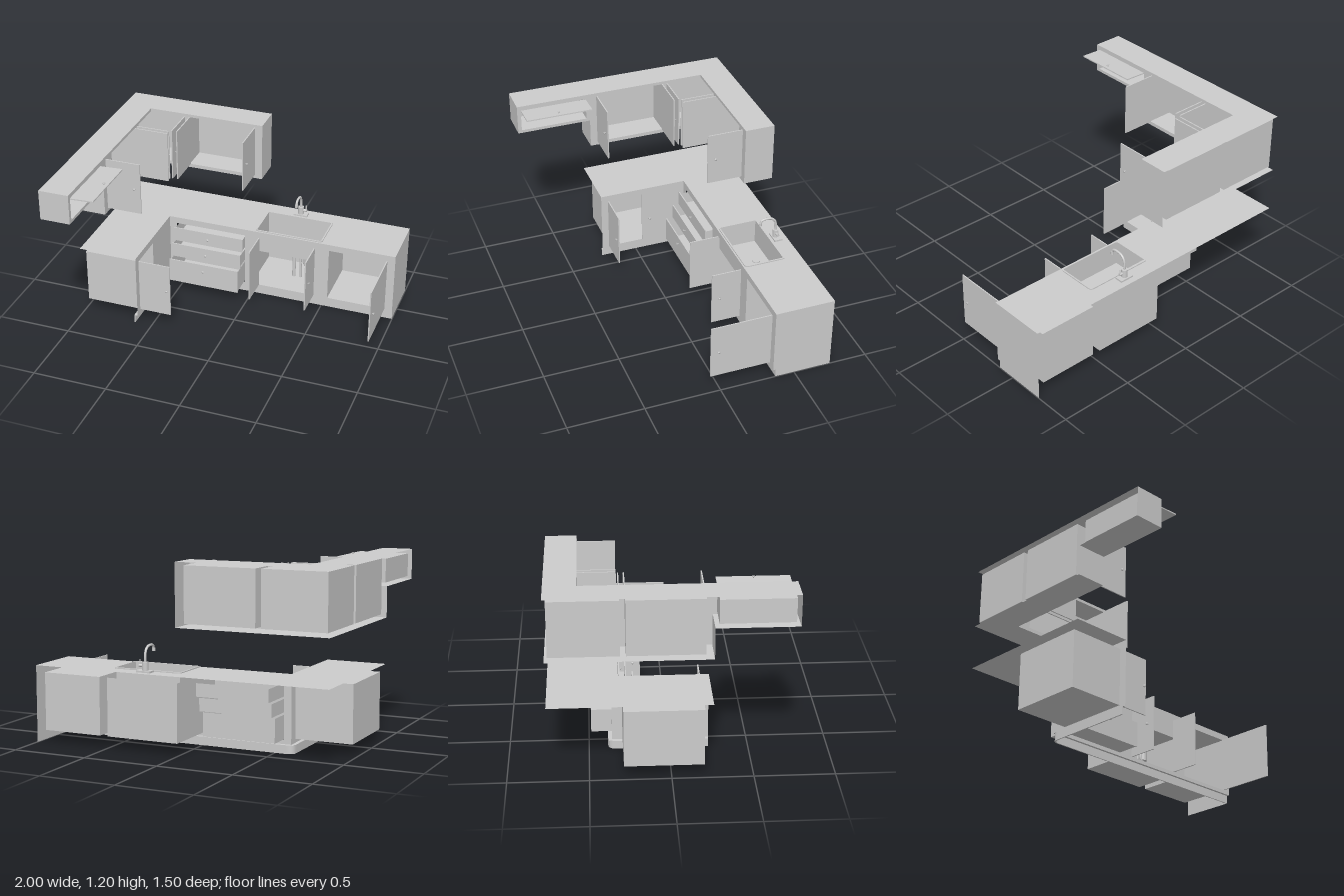
import * as THREE from 'three';

const mat = new THREE.MeshStandardMaterial({ color: 0xcccccc, side: THREE.DoubleSide });

export function createModel() {
  const root = new THREE.Group();
  const add = (name, geo, x = 0, y = 0, z = 0) => {
    const m = new THREE.Mesh(geo, mat);
    m.name = name;
    m.position.set(x, y, z);
    root.add(m);
    return m;
  };

  // Rectangular path with optional rounded corners
  const rect = (P, [a, b, c, d], r = 0) => {
    const p = new P();
    p.moveTo(a + r, b).lineTo(c - r, b);
    if (r) p.quadraticCurveTo(c, b, c, b + r);
    p.lineTo(c, d - r);
    if (r) p.quadraticCurveTo(c, d, c - r, d);
    p.lineTo(a + r, d);
    if (r) p.quadraticCurveTo(a, d, a, d - r);
    p.lineTo(a, b + r);
    if (r) p.quadraticCurveTo(a, b, a + r, b);
    p.closePath();
    return p;
  };
  const poly = pts => new THREE.Shape(pts.map(p => new THREE.Vector2(...p)));

  // Flat sheet across one axis: x takes (z,y), y takes (x,z), z takes (x,y)
  const sheet = (name, axis, at, shape, holes = []) => {
    shape.holes.push(...holes.map(h => rect(THREE.Path, h, 0.006)));
    const g = new THREE.ShapeGeometry(shape, 4);
    if (axis === 'x') g.rotateY(-Math.PI / 2);
    if (axis === 'y') g.rotateX(Math.PI / 2);
    const m = add(name, g);
    m.position[axis] = at;
  };
  const R = (...r) => rect(THREE.Shape, r);

  // Thin-walled box with some faces left out (0..5 = +x -x +y -y +z -z)
  const openBox = (name, [x0, y0, z0], [x1, y1, z1], ...open) => {
    const g = new THREE.BoxGeometry(x1 - x0, y1 - y0, z1 - z0);
    const idx = Array.from(g.index.array);
    g.setIndex(idx.filter((_, i) => !open.includes(Math.floor(i / 6))));
    g.clearGroups();
    return add(name, g, (x0 + x1) / 2, (y0 + y1) / 2, (z0 + z1) / 2);
  };
  const slab = (name, a, b) => openBox(name, a, b);

  // Knob: short stem with a round cap, pointing along an axis
  const knob = (x, y, z, axis, s) => {
    const pts = [[0.003, 0], [0.003, 0.006], [0.009, 0.009], [0.009, 0.013], [0, 0.015]];
    const g = new THREE.LatheGeometry(pts.map(p => new THREE.Vector2(...p)), 14);
    if (axis === 'x') g.rotateZ(-s * Math.PI / 2);
    if (axis === 'z') g.rotateX(s * Math.PI / 2);
    add('knob', g, x, y, z);
  };

  // Door swung open at a right angle; knob sits on its outer face
  const T = 0.008;
  const doorX = (x, z0, z1, y0, y1, s) => {
    slab('door', [x - T / 2, y0, z0], [x + T / 2, y1, z1]);
    knob(x + s * T / 2, (y0 + y1) / 2, z1 - 0.05, 'x', s);
  };
  const doorZ = (z, x0, x1, y0, y1, s, inset = 0.04) => {
    slab('door', [x0, y0, z - T / 2], [x1, y1, z + T / 2]);
    knob(x1 - inset, (y0 + y1) / 2, z + s * T / 2, 'z', s);
  };

  // ---- Base units ----
  const B0 = 0.08, B1 = 0.455, ZF = -0.355, XF = -0.6, ZB = -0.73;
  sheet('countertop', 'y', 0.5,
    poly([[-1, -0.75], [1, -0.75], [1, ZF], [XF, ZF], [XF, 0.25], [-1, 0.25]]),
    [[0.03, -0.63, 0.48, -0.375]]);
  sheet('baseFrontFrame', 'z', ZF, R(XF, 0.055, 1, 0.5),
    [[-0.55, B0, -0.05, B1], [0.05, B0, 0.445, B1], [0.545, B0, 0.945, B1]]);
  sheet('baseSideFrame', 'x', XF, R(ZF, 0.055, 0.25, 0.5), [[-0.29, B0, 0.2, B1]]);
  sheet('baseEndPanel', 'x', 0.998,
    poly([[-0.75, 0], [-0.375, 0], [-0.375, 0.055], [ZF, 0.055], [ZF, 0.5], [-0.75, 0.5]]));

  // Toe kick, curved round the inner corner
  const kick = new THREE.Shape();
  kick.moveTo(-0.625, 0.25).lineTo(-0.625, -0.33).quadraticCurveTo(-0.625, -0.38, -0.575, -0.38);
  kick.lineTo(0.998, -0.38).lineTo(0.998, -0.372).lineTo(-0.575, -0.372);
  kick.quadraticCurveTo(-0.617, -0.372, -0.617, -0.33).lineTo(-0.617, 0.25).closePath();
  add('toeKick', new THREE.ExtrudeGeometry(kick, { depth: 0.055, bevelEnabled: false, curveSegments: 8 })
    .rotateX(Math.PI / 2), 0, 0.055, 0);
  sheet('kickLedge', 'y', 0.055, R(-0.62, -0.375, 0.998, ZF));
  sheet('kickSideLedge', 'y', 0.055, R(-0.62, ZF, XF, 0.25));

  // Carcasses and doors
  openBox('endCabinet', [0.545, B0, ZB], [0.945, B1, ZF], 4);
  openBox('sinkCabinet', [0, B0, ZB], [0.49, B1, ZF], 2, 4);
  openBox('sideCabinet', [-0.98, B0, -0.29], [XF, B1, 0.2], 0);
  doorX(0.943, ZF, 0.05, B0, B1, 1);
  doorX(0.05, ZF, -0.155, B0, B1, -1);
  doorX(0.443, ZF, -0.155, B0, B1, 1);
  doorZ(0.198, XF, -0.38, B0, B1, 1, 0.022);
  slab('closedDoor', [XF - T, B0, -0.29], [XF, B1, -0.045]);
  knob(XF, 0.25, -0.1, 'x', 1);

  // Drawers, pulled out further towards the bottom
  [[0.35, 0.45, -0.3], [0.25, 0.35, -0.255], [B0, 0.25, -0.205]].forEach(([y0, y1, z], i) => {
    openBox('drawerTray', [-0.545, y0 + 0.003, z - 0.28], [-0.055, y1 - 0.012, z - T], 2);
    slab('drawerFront', [-0.55, y0, z - T], [-0.05, y1, z]);
    knob(-0.3, [0.4, 0.3, 0.2][i], z, 'z', 1);
  });

  // ---- Sink ----
  openBox('sinkBasin', [0.03, 0.34, -0.63], [0.48, 0.503, -0.375], 2);
  const rim = rect(THREE.Shape, [0.02, -0.645, 0.49, -0.365], 0.025);
  rim.holes.push(rect(THREE.Path, [0.03, -0.63, 0.48, -0.375], 0.012));
  add('sinkRim', new THREE.ExtrudeGeometry(rim, { depth: 0.007, bevelEnabled: false })
    .rotateX(Math.PI / 2), 0, 0.507, 0);
  const cyl = (name, r, h, x, y, z) => add(name, new THREE.CylinderGeometry(r, r, h, 20), x, y, z);
  cyl('drain', 0.026, 0.006, 0.245, 0.343, -0.55);
  const tube = (name, pts, r) => add(name, new THREE.TubeGeometry(
    new THREE.CatmullRomCurve3(pts.map(p => new THREE.Vector3(...p)), false, 'centripetal'), 40, r, 12));

  // Pipes under the sink
  cyl('drainPipe', 0.012, 0.26, 0.245, 0.21, -0.55);
  tube('trapPipe', [[0.345, 0.34, -0.55], [0.345, 0.2, -0.55], [0.335, 0.18, -0.55],
    [0.32, 0.19, -0.55], [0.318, 0.27, -0.55], [0.305, 0.285, -0.55], [0.295, 0.27, -0.55],
    [0.295, 0.08, -0.55]], 0.008);
  cyl('trapBottle', 0.025, 0.11, 0.345, 0.24, -0.55);

  // Faucet
  slab('faucetPlate', [0.198, 0.5, -0.71], [0.295, 0.511, -0.655]);
  cyl('faucetBody', 0.02, 0.055, 0.245, 0.537, -0.68);
  tube('faucetSpout', [[0.245, 0.55, -0.68], [0.245, 0.6, -0.68], [0.245, 0.635, -0.67],
    [0.245, 0.655, -0.648], [0.245, 0.661, -0.62], [0.245, 0.661, -0.595],
    [0.245, 0.652, -0.576], [0.245, 0.625, -0.568]], 0.008);
  cyl('spoutTip', 0.01, 0.02, 0.245, 0.628, -0.568);
  cyl('faucetHandleHub', 0.009, 0.03, 0.272, 0.54, -0.68).rotation.z = Math.PI / 2;
  cyl('faucetHandle', 0.004, 0.045, 0.282, 0.557, -0.68);

  // ---- Wall units ----
  const U0 = 0.825, U1 = 1.18, UF = -0.55, UX = -0.8;
  const plan = [[-1, -0.75], [0, -0.75], [0, UF], [UX, UF]];
  sheet('wallUnitTop', 'y', 1.2, poly([...plan, [UX, 0.75], [-1, 0.75]]));
  sheet('wallUnitBottom', 'y', 0.8, poly([...plan, [UX, 0.25], [-1, 0.25]]));
  sheet('shortUnitBottom', 'y', 1.0, R(-1, 0.25, UX, 0.75));
  sheet('wallUnitEnd', 'x', 0, R(-0.75, 0.8, UF, 1.2));
  sheet('sideUnitEnd', 'z', 0.25, R(-1, 0.8, UX, 1.0));
  sheet('shortUnitEnd', 'z', 0.75, R(-1, 1.0, UX, 1.2));

  // Front frames; the corner opening runs through both
  sheet('wallFrontFrame', 'z', UF, poly([[UX, 0.8], [0, 0.8], [0, 1.2], [UX, 1.2],
    [UX, U1], [-0.558, U1], [-0.558, U0], [UX, U0]]), [[-0.522, U0, -0.05, U1]]);
  sheet('wallSideFrame', 'x', UX, poly([[UF, 0.8], [0.25, 0.8], [0.25, 1.0], [0.75, 1.0],
    [0.75, 1.2], [UF, 1.2], [UF, U1], [-0.305, U1], [-0.305, U0], [UF, U0]]),
  [[-0.27, U0, 0.2, U1], [0.275, 1.02, 0.725, 1.172]]);

  // Carcasses
  openBox('wallCabinet', [-0.522, U0, ZB], [-0.05, U1, UF], 4);
  openBox('wallSideCabinet', [-0.98, U0, -0.27], [UX, U1, 0.2], 0);
  openBox('shortCabinet', [-0.98, 1.02, 0.275], [UX, 1.172, 0.725], 0);
  const ell = [[-0.98, ZB], [-0.558, ZB], [-0.558, UF], [UX, UF], [UX, -0.305], [-0.98, -0.305]];
  for (const y of [U0, U1]) sheet('cornerCabinetShelf', 'y', y, poly(ell));
  sheet('cornerCabinetBack', 'z', ZB, R(-0.98, U0, -0.558, U1));
  sheet('cornerCabinetSideBack', 'x', -0.98, R(ZB, U0, -0.305, U1));
  sheet('cornerCabinetRight', 'x', -0.558, R(ZB, U0, UF, U1));
  sheet('cornerCabinetFrontSide', 'z', -0.305, R(-0.98, U0, UX, U1));

  // Doors
  doorX(-0.054, UF, -0.31, U0, U1, 1);
  doorX(-0.52, UF, -0.315, U0, U1, -1);
  doorX(-0.556, UF, -0.315, U0, U1, 1);
  doorZ(0.198, UX, -0.565, U0, U1, 1);
  doorZ(-0.27, UX, -0.565, U0, U1, -1);
  doorZ(-0.305, UX, -0.57, U0, U1, 1);

  // Flap raised over the short cabinet
  const flap = slab('flapDoor', [UX, 1.162, 0.277], [-0.648, 1.17, 0.723]);
  flap.rotation.z = 0.04;
  flap.position.y += 0.002;
  knob(-0.675, 1.173, 0.5, 'y', 1);

  return root;
}
